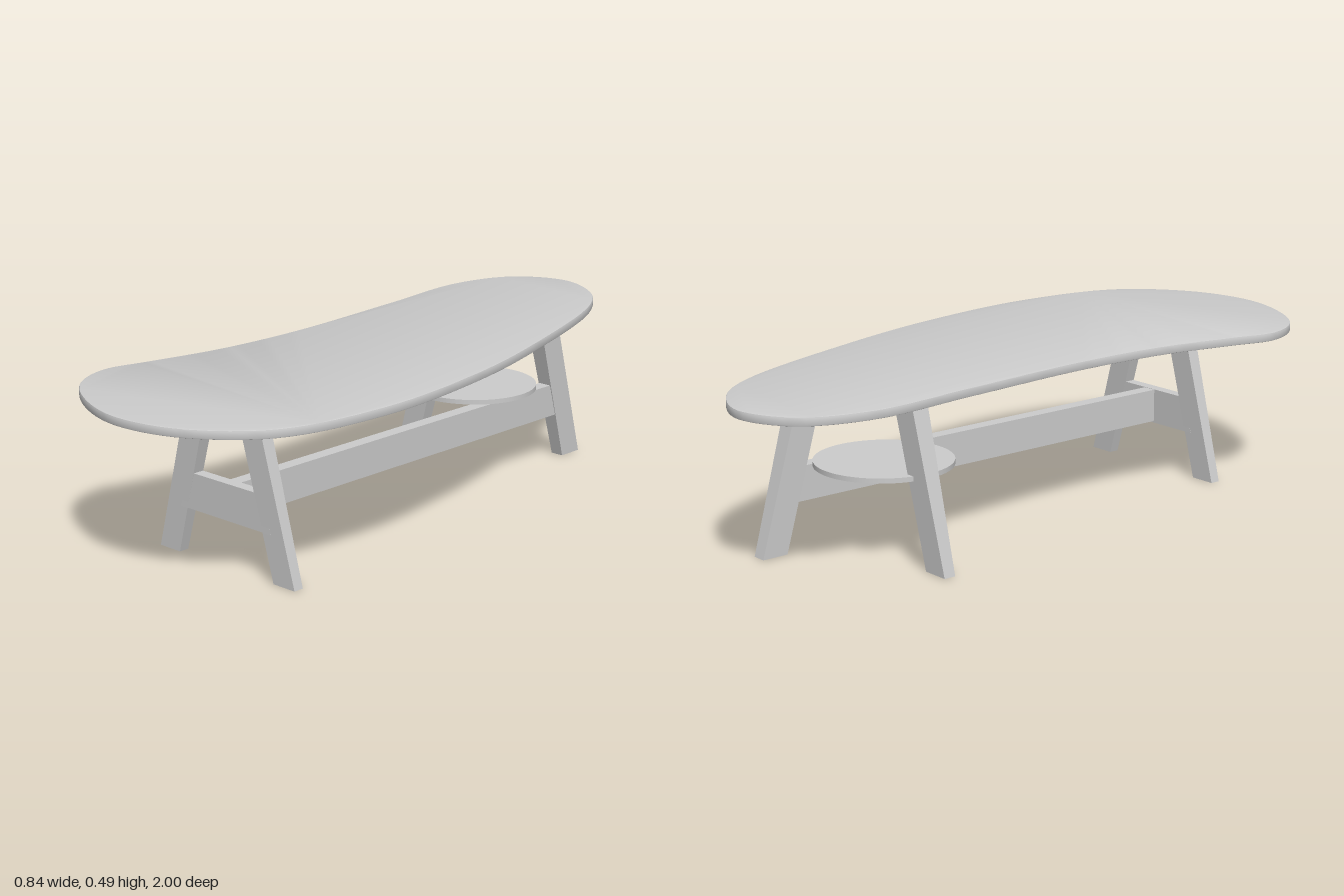
import * as THREE from 'three';
import { toCreasedNormals } from 'three/addons/utils/BufferGeometryUtils.js';

const material = new THREE.MeshStandardMaterial({ color: 0xcccccc });
const LEG_HEIGHT = 0.465;

function part(name, geometry, x = 0, y = 0, z = 0) {
  const mesh = new THREE.Mesh(geometry, material);
  mesh.name = name;
  mesh.position.set(x, y, z);
  return mesh;
}

// Slanted plank leg: leans along x, its thickness (z) grows towards the top
function legGeometry(bottomX, topX, bottomThickness, topThickness) {
  const g = new THREE.BoxGeometry(0.08, 1, 1);
  const p = g.attributes.position;
  for (let i = 0; i < p.count; i++) {
    const t = p.getY(i) + 0.5;
    p.setXYZ(
      i,
      p.getX(i) + THREE.MathUtils.lerp(bottomX, topX, t),
      t * LEG_HEIGHT,
      p.getZ(i) * THREE.MathUtils.lerp(bottomThickness, topThickness, t)
    );
  }
  g.computeVertexNormals();
  return g;
}

// Kidney-shaped slab with a slightly eased edge
function tableTopGeometry() {
  const outline = [
    [-0.155, -1.0], [-0.31, -0.925], [-0.381, -0.73], [-0.355, -0.39],
    [-0.322, 0.05], [-0.335, 0.35], [-0.38, 0.575], [-0.408, 0.72],
    [-0.35, 0.85], [-0.195, 0.955], [-0.02, 0.998], [0.18, 0.95],
    [0.355, 0.785], [0.418, 0.45], [0.375, 0.03], [0.28, -0.34],
    [0.115, -0.79], [0.005, -0.93],
  ].map(([x, z]) => new THREE.Vector3(x, z, 0));
  const curve = new THREE.CatmullRomCurve3(outline, true, 'centripetal');
  const points = curve.getPoints(144).slice(0, -1).map((v) => new THREE.Vector2(v.x, v.y));
  const bevel = 0.003;
  const g = new THREE.ExtrudeGeometry(new THREE.Shape(points), {
    depth: 0.025 - 2 * bevel,
    bevelThickness: bevel,
    bevelSize: bevel,
    bevelOffset: -bevel,
    bevelSegments: 2,
  });
  g.rotateX(Math.PI / 2);
  return toCreasedNormals(g, 0.6);
}

// Crossbar whose ends follow the slant of the legs
function crossbarGeometry() {
  const shape = new THREE.Shape([
    new THREE.Vector2(-0.147, 0.138),
    new THREE.Vector2(0.21, 0.138),
    new THREE.Vector2(0.165, 0.244),
    new THREE.Vector2(-0.105, 0.244),
  ]);
  return new THREE.ExtrudeGeometry(shape, { depth: 0.034, bevelEnabled: false });
}

export function createModel() {
  const model = new THREE.Group();
  model.name = 'kidneyTable';

  model.add(part('tableTop', tableTopGeometry(), 0, 0.488 - 0.003, 0));

  // Front trestle: two splayed legs and a crossbar
  const frontX = 0.028;
  for (const [side, name] of [[1, 'frontLeftLeg'], [-1, 'frontRightLeg']]) {
    model.add(part(name, legGeometry(side * 0.227, side * 0.098, 0.031, 0.04), frontX, 0, 0.66));
  }
  model.add(part('frontCrossbar', crossbarGeometry(), 0, 0, 0.643));

  // Back legs: one leans sideways, the other leans along the table
  model.add(part('backSideLeg', legGeometry(-0.382, -0.254, 0.036, 0.053), 0, 0, -0.52));
  const endLeg = legGeometry(-0.78, -0.65, 0.042, 0.055);
  endLeg.rotateY(-Math.PI / 2);
  model.add(part('backEndLeg', endLeg, 0.038, 0, 0));

  // Long beam from the front crossbar to the back end leg
  const beamLength = 1.37;
  model.add(part('longBeam', new THREE.BoxGeometry(0.042, 0.1, beamLength), 0.038, 0.193, 0.65 - beamLength / 2));

  // Small round shelf resting on the beam
  const shelf = toCreasedNormals(new THREE.CylinderGeometry(0.196, 0.196, 0.014, 64), 0.6);
  model.add(part('roundShelf', shelf, -0.106, 0.25, -0.497));

  return model;
}
